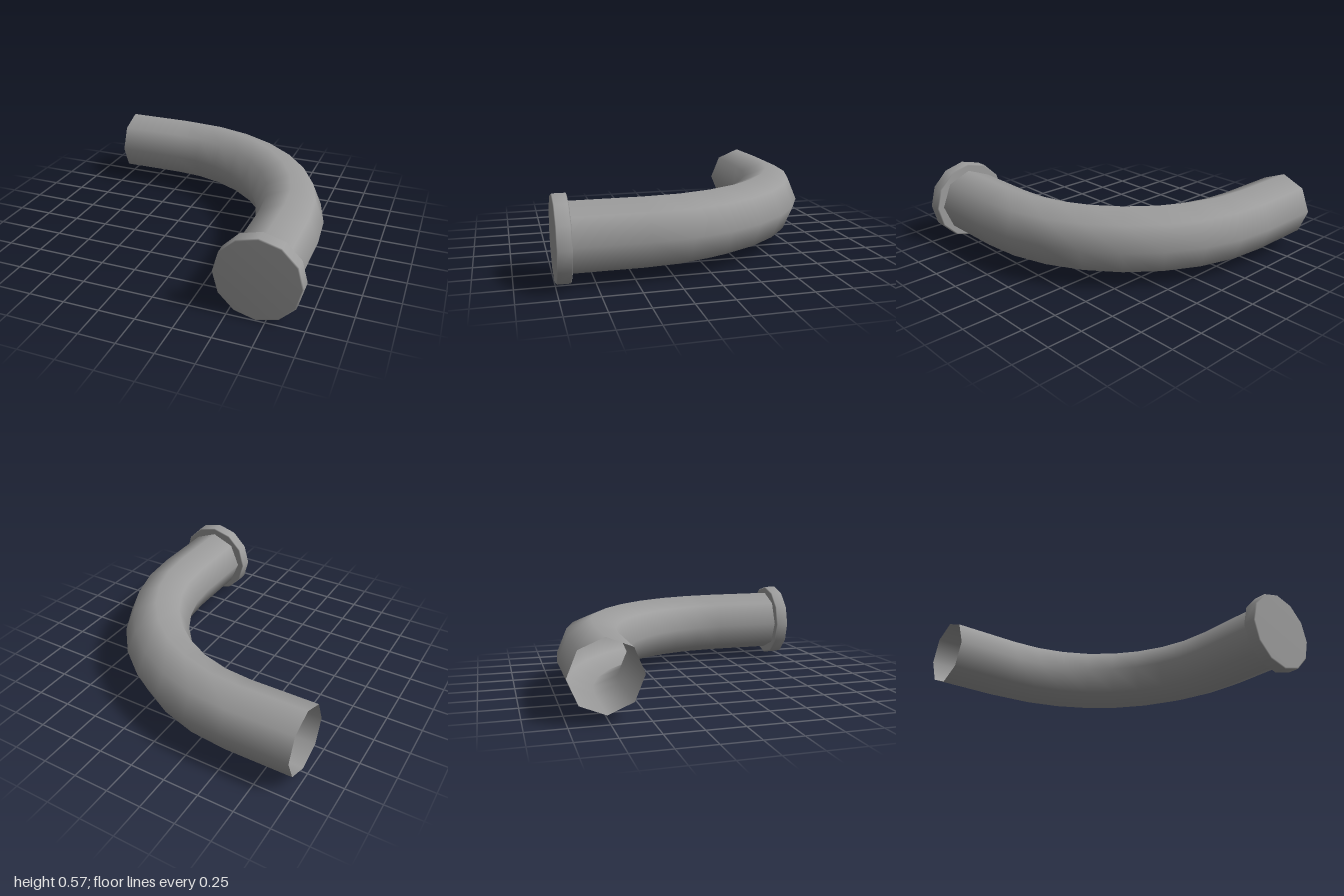
import * as THREE from 'three';

const AXIS_Y = 0.285;       // height of the pipe's centre line
const PIPE_R = 0.234;
const CAP_R = 0.285;
const BEND_R = 1.19;        // centre-line radius of the elbow
const BEND_X = -0.5, BEND_Z = 0.424;
const BEND_STEPS = 8;

// Centre and direction angle of each cross-section: straight, elbow, straight
function pipeStations() {
  const stations = [{ x: -0.975, z: BEND_Z - BEND_R, a: 0 }];
  for (let i = 0; i <= BEND_STEPS; i++) {
    const a = (i / BEND_STEPS) * Math.PI / 2;
    stations.push({ x: BEND_X + BEND_R * Math.sin(a), z: BEND_Z - BEND_R * Math.cos(a), a });
  }
  stations.push({ x: BEND_X + BEND_R, z: 0.93, a: Math.PI / 2 });
  return stations;
}

// Open eight-sided cylinder whose rows are moved onto the stations
function bentPipeGeometry() {
  const stations = pipeStations();
  const rows = stations.length - 1;
  const geo = new THREE.CylinderGeometry(PIPE_R, PIPE_R, 1, 8, rows, true);
  const pos = geo.attributes.position, nor = geo.attributes.normal;
  const p = new THREE.Vector3(), n = new THREE.Vector3(), frame = new THREE.Matrix4();
  for (let i = 0; i < pos.count; i++) {
    const s = stations[Math.round((pos.getY(i) + 0.5) * rows)];
    const sin = Math.sin(s.a), cos = Math.cos(s.a);
    frame.makeBasis(
      new THREE.Vector3(sin, 0, -cos),
      new THREE.Vector3(cos, 0, sin),
      new THREE.Vector3(0, -1, 0)
    ).setPosition(s.x, AXIS_Y, s.z);
    p.set(pos.getX(i), 0, pos.getZ(i)).applyMatrix4(frame);
    n.fromBufferAttribute(nor, i).transformDirection(frame);
    pos.setXYZ(i, p.x, p.y, p.z);
    nor.setXYZ(i, n.x, n.y, n.z);
  }
  return geo;
}

// Twelve-sided disc with soft, narrow bevels round both edges
function endCapGeometry() {
  const inner = CAP_R - 0.01;
  const profile = [[0, 0.905], [inner, 0.905], [CAP_R, 0.911], [CAP_R, 0.994], [inner, 1], [0, 1]]
    .map(([r, h]) => new THREE.Vector2(r, h));
  const geo = new THREE.LatheGeometry(profile, 12);
  geo.rotateX(Math.PI / 2);
  geo.translate(BEND_X + BEND_R, AXIS_Y, 0);
  return geo;
}

export function createModel() {
  const group = new THREE.Group();
  group.name = 'cappedElbowPipe';

  const pipe = new THREE.Mesh(
    bentPipeGeometry(),
    new THREE.MeshStandardMaterial({ color: 0x9d9d9d, side: THREE.DoubleSide })
  );
  pipe.name = 'bentPipe';

  const cap = new THREE.Mesh(endCapGeometry(), new THREE.MeshStandardMaterial({ color: 0x9d9d9d }));
  cap.name = 'endCap';

  group.add(pipe, cap);
  return group;
}
